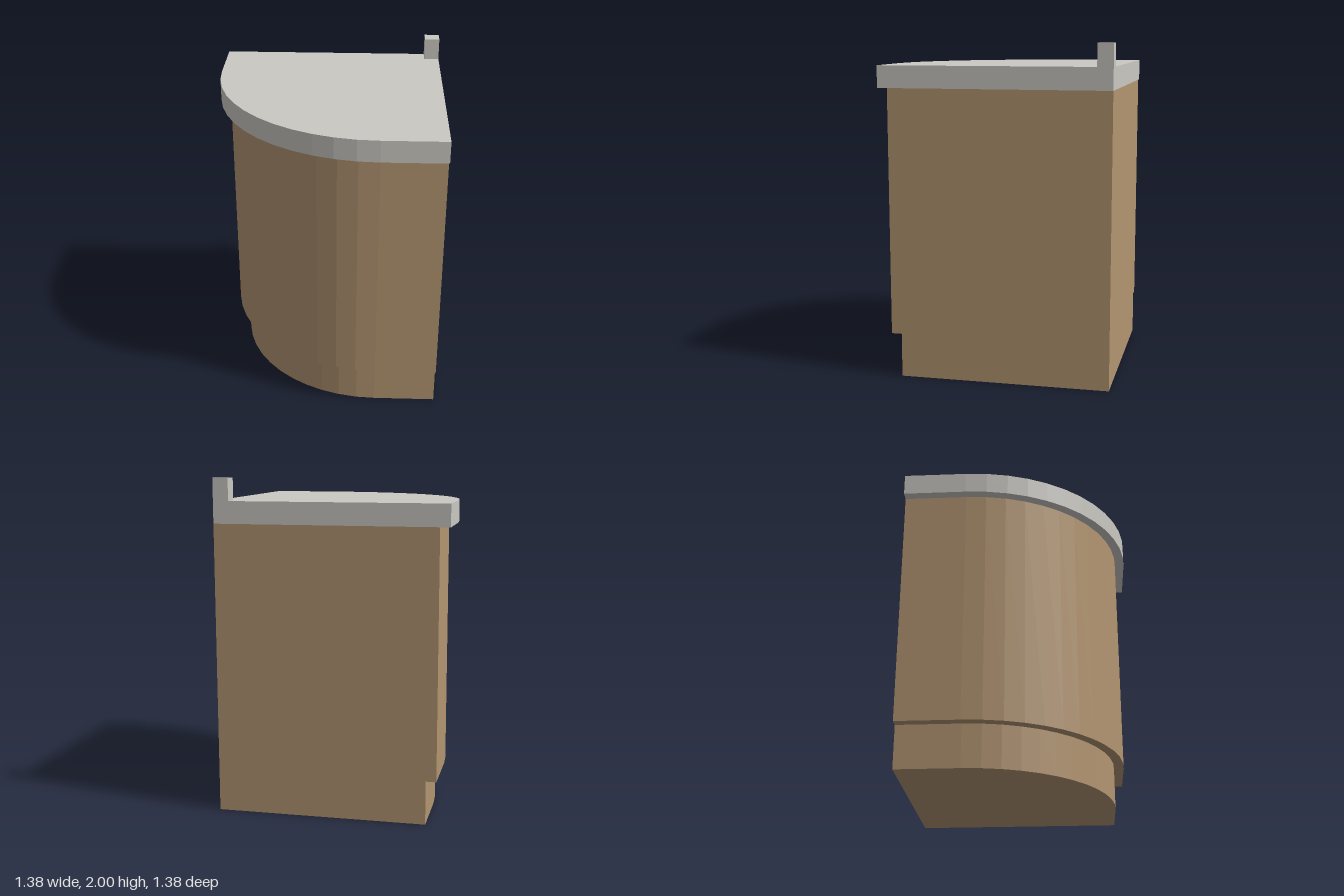
import * as THREE from 'three';

const EDGE = 0.69;    // half width of the square footprint
const CENTRE = 0.31;  // centre of the rounded corner (x, and -z)

// Quarter-round slab with its square corner at the back left
function quarterSlab(name, radius, y0, y1, material) {
  const shape = new THREE.Shape();
  shape.moveTo(EDGE, EDGE);
  shape.lineTo(CENTRE - radius, EDGE);
  shape.lineTo(CENTRE - radius, CENTRE);
  shape.absarc(CENTRE, CENTRE, radius, Math.PI, Math.PI * 1.5, false);
  shape.lineTo(EDGE, CENTRE - radius);
  shape.closePath();
  const geometry = new THREE.ExtrudeGeometry(shape, {
    depth: y1 - y0, bevelEnabled: false, curveSegments: 6,
  });
  geometry.rotateX(-Math.PI / 2);
  geometry.translate(0, y0, 0);
  const mesh = new THREE.Mesh(geometry, material);
  mesh.name = name;
  return mesh;
}

export function createModel() {
  const wood = new THREE.MeshStandardMaterial({ color: 0xb39571 });
  wood.name = 'wood';
  const stone = new THREE.MeshStandardMaterial({ color: 0xcac8c2 });
  stone.name = 'pale stone';

  const group = new THREE.Group();
  group.name = 'cornerCabinet';

  // Recessed plinth, cabinet body and overhanging worktop
  group.add(
    quarterSlab('plinth', 0.878, 0, 0.263, wood),
    quarterSlab('cabinetBody', 0.94, 0.263, 1.737, wood),
    quarterSlab('worktop', 1.0, 1.737, 1.868, stone),
  );

  // Small upstand post in the back corner
  const size = 0.092;
  const post = new THREE.Mesh(new THREE.BoxGeometry(size, 0.132, size), stone);
  post.position.set(EDGE - size / 2, 1.934, -EDGE + size / 2);
  post.name = 'cornerUpstand';
  group.add(post);

  return group;
}
